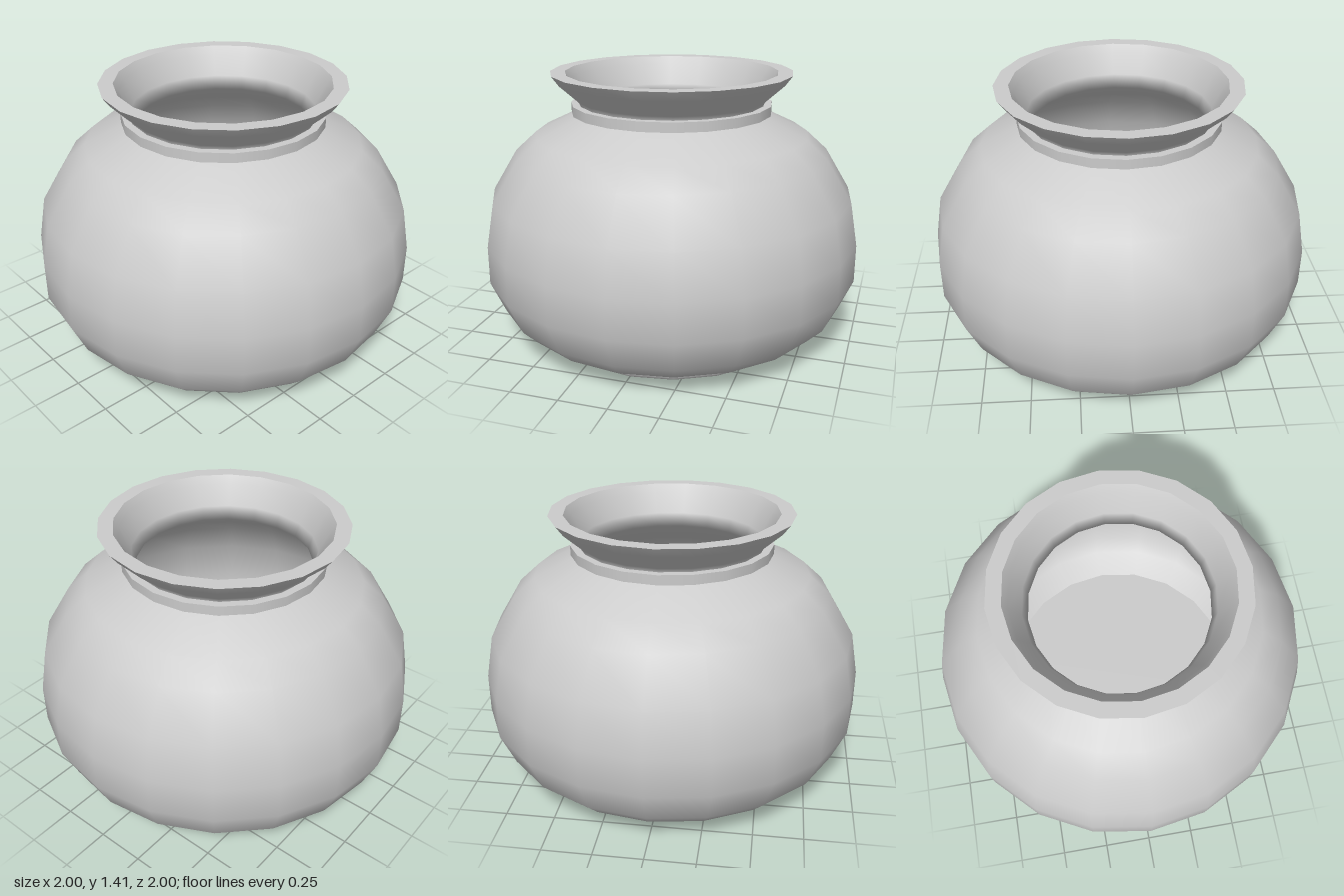
import * as THREE from 'three';

const SIDES = 20;
const material = new THREE.MeshStandardMaterial({ color: 0xcccccc });

// Each strip is a [radius, height] profile, smooth within itself and creased where strips meet.
function turned(name, strips) {
  const part = new THREE.Group();
  part.name = name;
  strips.forEach((strip, i) => {
    const points = strip.map(([r, y]) => new THREE.Vector2(r, y));
    const mesh = new THREE.Mesh(new THREE.LatheGeometry(points, SIDES), material);
    mesh.name = `${name}Surface${i + 1}`;
    part.add(mesh);
  });
  return part;
}

export function createModel() {
  const pot = new THREE.Group();
  pot.name = 'pot';

  // Low foot with a closed underside
  pot.add(turned('foot', [
    [[0, 0], [0.695, 0]],
    [[0.695, 0], [0.717, 0.025], [0.71, 0.04]],
    [[0.71, 0.04], [0.66, 0.04]],
  ]));

  // Bulging outer wall
  pot.add(turned('body', [[
    [0.69, 0.035], [0.845, 0.1], [0.925, 0.18], [1, 0.35], [1, 0.55],
    [0.96, 0.775], [0.83, 0.99], [0.72, 1.09], [0.49, 1.2],
  ]]));

  // Raised band around the neck
  pot.add(turned('neckBand', [
    [[0.48, 1.2], [0.527, 1.2]],
    [[0.527, 1.2], [0.527, 1.25]],
    [[0.527, 1.25], [0.48, 1.25]],
  ]));

  // Flared lip with a flat top
  pot.add(turned('lip', [
    [[0.487, 1.25], [0.495, 1.27], [0.595, 1.36], [0.632, 1.41]],
    [[0.632, 1.41], [0.555, 1.41]],
  ]));

  // Hollow interior, from the mouth down to the floor
  pot.add(turned('interior', [
    [
      [0.555, 1.41], [0.53, 1.37], [0.475, 1.26], [0.453, 1.19],
      [0.69, 1.05], [0.8, 0.95], [0.915, 0.76], [0.953, 0.55],
      [0.953, 0.36], [0.885, 0.21], [0.815, 0.14], [0.68, 0.08],
    ],
    [[0.68, 0.08], [0, 0.08]],
  ]));

  return pot;
}
